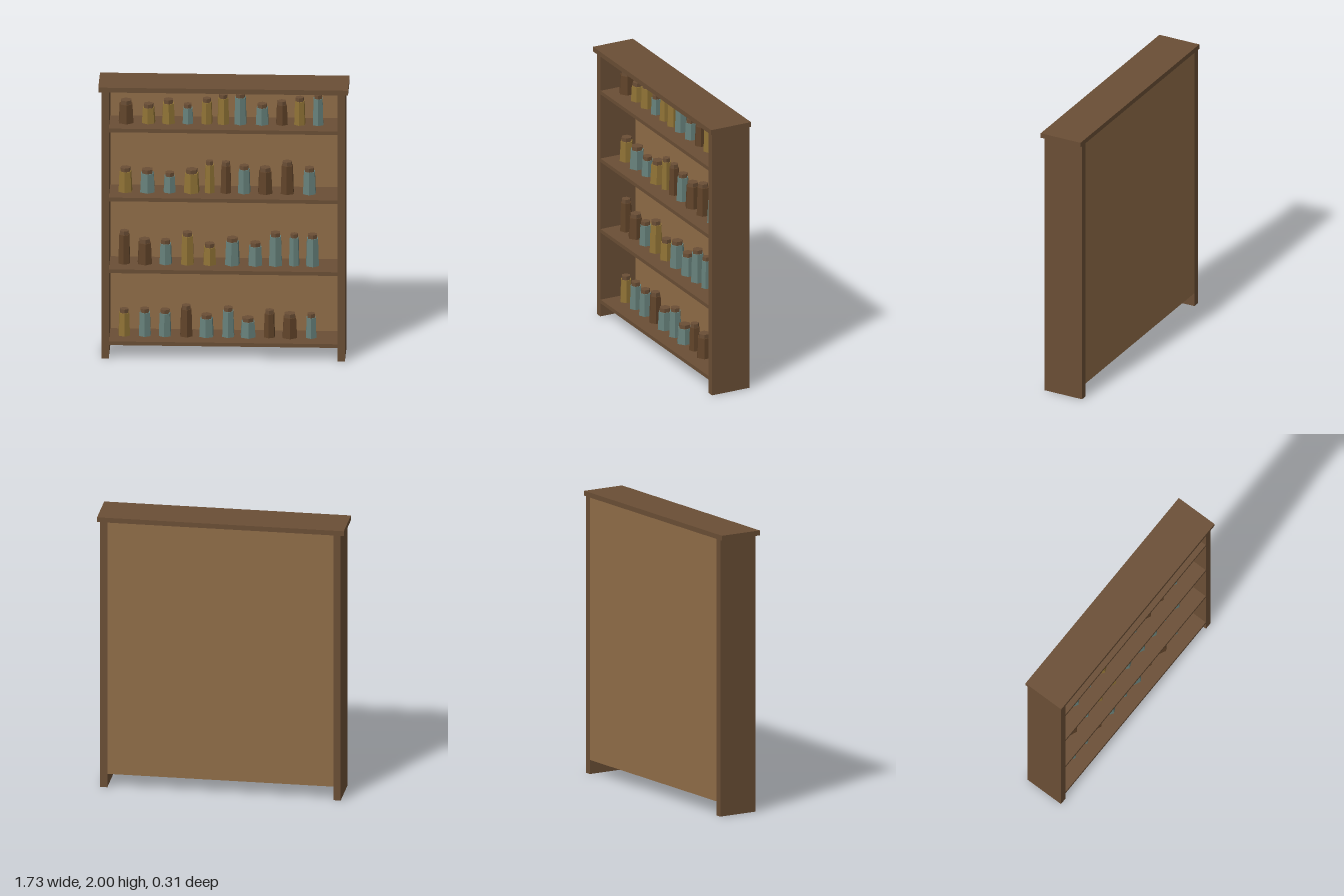
import * as THREE from 'three';

const flat = (name, color) => {
  const m = new THREE.MeshStandardMaterial({ color });
  m.name = name;
  m.flatShading = true;
  return m;
};

export function createModel() {
  const wood = flat('dark wood', 0x6a4e35);
  const panelWood = flat('light panel wood', 0x8f6c47);
  const jarColours = {
    B: flat('brown glass', 0x604329),
    Y: flat('amber glass', 0x8f7235),
    T: flat('teal glass', 0x66807a),
  };

  const model = new THREE.Group();
  model.name = 'shelfOfJars';

  // Box given by its lower and upper corners
  const board = (name, material, [x0, y0, z0], [x1, y1, z1]) => {
    const mesh = new THREE.Mesh(new THREE.BoxGeometry(x1 - x0, y1 - y0, z1 - z0), material);
    mesh.position.set((x0 + x1) / 2, (y0 + y1) / 2, (z0 + z1) / 2);
    mesh.name = name;
    model.add(mesh);
  };

  // Carcass
  const back = -0.157, front = 0.138, inner = 0.795, outer = 0.845;
  board('topBoard', wood, [-0.867, 1.965, back], [0.867, 2, 0.157]);
  board('leftSide', wood, [inner, 0, back], [outer, 1.965, front]);
  board('rightSide', wood, [-outer, 0, back], [-inner, 1.965, front]);
  board('backPanel', panelWood, [-inner, 0.1, back], [inner, 1.965, back + 0.018]);

  // A six-sided tapered jar with a lid
  const addJar = (x, y, radius, height, material, turn) => {
    const lidHeight = 0.028, bodyHeight = height - lidHeight;
    const jar = new THREE.Group();
    jar.name = 'jar';
    const body = new THREE.Mesh(
      new THREE.CylinderGeometry(radius * 0.86, radius, bodyHeight, 6), material);
    body.position.y = bodyHeight / 2;
    body.name = 'jarBody';
    const lid = new THREE.Mesh(
      new THREE.CylinderGeometry(radius * 0.72, radius * 0.72, lidHeight, 6), wood);
    lid.position.y = bodyHeight + lidHeight / 2;
    lid.name = 'jarLid';
    jar.add(body, lid);
    jar.position.set(x, y, -0.01);
    jar.rotation.y = turn;
    model.add(jar);
  };

  // Shelves from bottom to top, each jar as [x, radius, height]
  const shelves = [
    { y: 0.098, colours: 'YTTBTTTBBT', jars: [
      [-0.693, 0.045, 0.193], [-0.55, 0.047, 0.198], [-0.41, 0.047, 0.193], [-0.262, 0.047, 0.225],
      [-0.122, 0.055, 0.159], [0.029, 0.047, 0.214], [0.167, 0.058, 0.14], [0.315, 0.042, 0.198],
      [0.457, 0.058, 0.175], [0.605, 0.042, 0.175]] },
    { y: 0.628, colours: 'BBTYYTTTTT', jars: [
      [-0.693, 0.045, 0.238], [-0.55, 0.055, 0.18], [-0.405, 0.047, 0.175], [-0.254, 0.05, 0.233],
      [-0.1, 0.05, 0.153], [0.058, 0.055, 0.196], [0.217, 0.055, 0.164], [0.357, 0.052, 0.238],
      [0.487, 0.039, 0.23], [0.614, 0.05, 0.228]] },
    { y: 1.157, colours: 'YTTYYBTBBT', jars: [
      [-0.685, 0.052, 0.175], [-0.532, 0.058, 0.164], [-0.378, 0.047, 0.143], [-0.225, 0.058, 0.167],
      [-0.1, 0.039, 0.23], [0.013, 0.042, 0.225], [0.14, 0.047, 0.2], [0.286, 0.055, 0.188],
      [0.439, 0.05, 0.233], [0.593, 0.05, 0.19]] },
    { y: 1.665, colours: 'BYYTYYTTBYT', jars: [
      [-0.68, 0.058, 0.164], [-0.524, 0.05, 0.138], [-0.386, 0.05, 0.172], [-0.251, 0.042, 0.14],
      [-0.119, 0.042, 0.183], [-0.005, 0.045, 0.214], [0.114, 0.047, 0.22], [0.265, 0.05, 0.148],
      [0.402, 0.045, 0.17], [0.526, 0.042, 0.198], [0.653, 0.042, 0.22]] },
  ];
  for (const { y, colours, jars } of shelves) {
    const top = y + 0.027;
    board('shelf', wood, [-inner, y, back + 0.018], [inner, top, front - 0.002]);
    jars.forEach(([x, radius, height], i) =>
      addJar(x, top, radius, height, jarColours[colours[i]], 0.12 * Math.sin(i * 2.3 + y * 9)));
  }
  return model;
}
